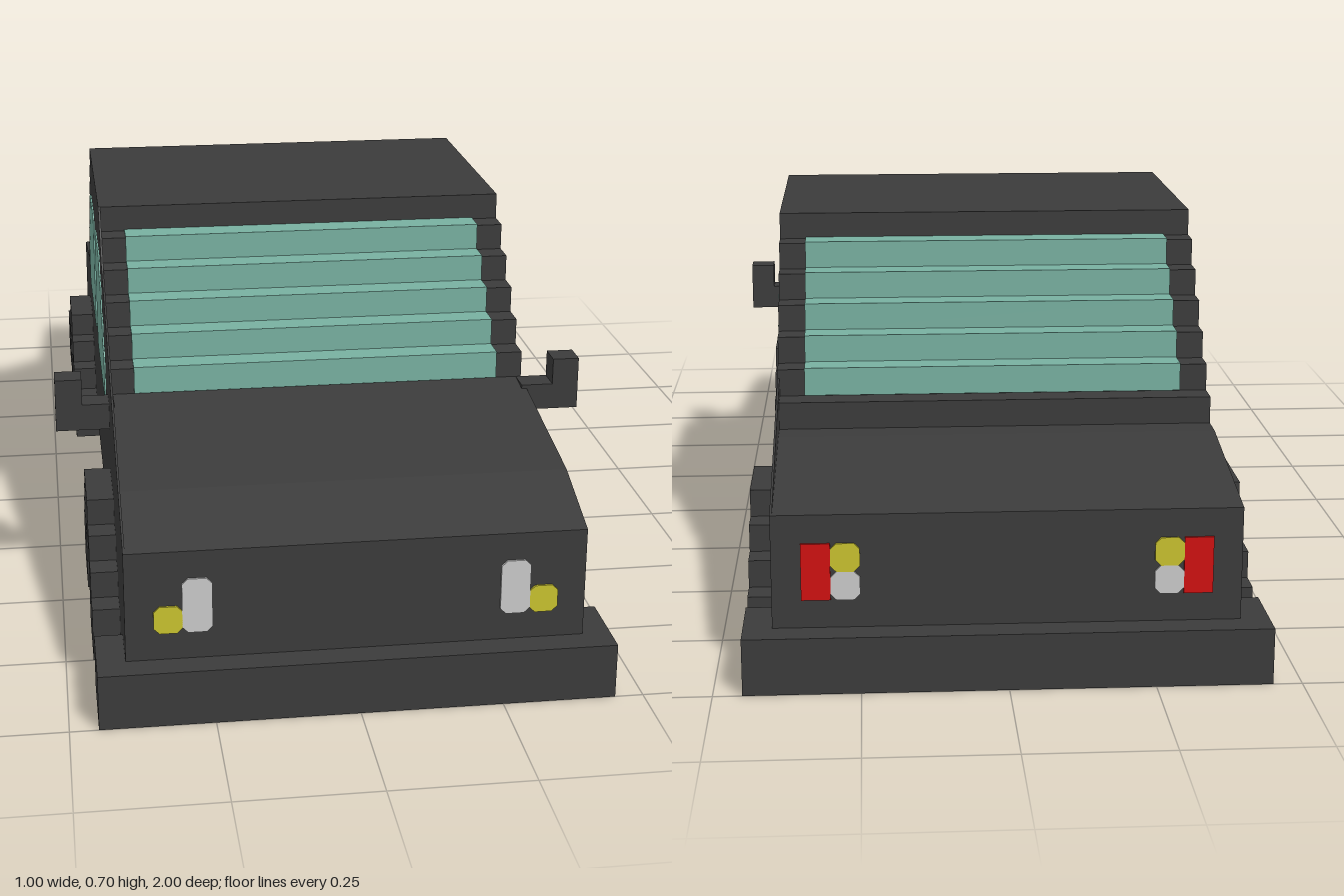
import * as THREE from 'three';

export function createModel() {
  const car = new THREE.Group();
  car.name = 'car';
  const mat = (name, color, extra = {}) => {
    const m = new THREE.MeshStandardMaterial({ color, ...extra });
    m.name = name;
    return m;
  };
  const paint = mat('charcoal', 0x3b3b3b);
  paint.side = THREE.DoubleSide;
  const glass = mat('glass', 0x78b0a1);
  const white = mat('lamp white', 0xcacaca);
  const yellow = mat('indicator yellow', 0xc9c22f);
  const red = mat('tail red', 0xd01010);

  const add = (name, geo, material) => {
    const mesh = new THREE.Mesh(geo, material);
    mesh.name = name;
    car.add(mesh);
    return mesh;
  };
  // box given by its minimum and maximum on each axis
  const box = (name, material, x0, x1, y0, y1, z0, z1) =>
    add(name, new THREE.BoxGeometry(x1 - x0, y1 - y0, z1 - z0), material)
      .position.set((x0 + x1) / 2, (y0 + y1) / 2, (z0 + z1) / 2);
  // side profile of [z, y] points, extruded across the car about x
  const slab = (name, material, points, width, x = 0) => {
    const shape = new THREE.Shape(points.map(p => new THREE.Vector2(...p)));
    const geo = new THREE.ExtrudeGeometry(shape, { depth: width, bevelEnabled: false });
    geo.translate(0, 0, -width / 2).rotateY(-Math.PI / 2).translate(x, 0, 0);
    return add(name, geo, material);
  };

  // body with stepped screens, sloping bonnet and boot
  const profile = [[0.95, 0.1], [0.95, 0.3], [0.8, 0.35], [0.45, 0.4]];
  for (let i = 4; i >= 0; i--) {
    const z = 0.2 + i * 0.05, y = 0.65 - i * 0.05;
    profile.push([z + 0.05, y - 0.05], [z + 0.05, y], [z, y]);
  }
  profile.push([0.2, 0.7], [-0.3, 0.7]);
  for (let i = 0; i < 6; i++) {
    const z = -0.3 - i * 0.05, y = 0.65 - i * 0.05;
    profile.push([z, y], [z - 0.05, y]);
  }
  profile.push([-0.6, 0.35], [-0.65, 0.35], [-0.95, 0.3], [-0.95, 0.1], [-0.85, 0.05],
    [-0.65, 0.05], [-0.65, 0.1], [-0.5, 0.15], [-0.5, 0.05], [0.45, 0.05],
    [0.45, 0.15], [0.6, 0.15], [0.6, 0.05], [0.85, 0.05]);
  // remove repeated neighbours where steps meet
  const outline = profile.filter((p, i) => !i ||
    Math.hypot(p[0] - profile[i - 1][0], p[1] - profile[i - 1][1]) > 1e-4);
  slab('body', paint, outline, 0.8);

  // triangular side panels beside bonnet and boot
  slab('bonnetSidePanel', paint, [[0.95, 0.3], [0.3, 0.6], [0.2, 0.7], [0.2, 0.3]], 0.004, -0.398);
  slab('bootSidePanel', paint, [[-0.95, 0.3], [-0.5, 0.45], [-0.5, 0.3]], 0.004, 0.398);

  // windscreen and rear screen, one block per step
  for (let i = 0; i < 5; i++) {
    const y = 0.653 - i * 0.05, z = 0.203 + i * 0.05;
    box('windscreenStep', glass, -0.35, 0.35, y - 0.052, y, z - 0.003, z + 0.05);
    box('rearScreenStep', glass, -0.35, 0.35, y - 0.052, y, -z - 0.15, -z - 0.097);
  }

  // stepped wheel arches running under the car
  const arch = (name, c, frontTop, rearTop) => slab(name, paint, [
    [0.225, 0], [0.225, 0.1], [0.175, 0.1], [0.175, 0.15], [0.125, 0.15], [0.125, 0.2],
    [0.075, 0.2], [0.075, 0.25], [-0.075, 0.25], [-0.075, 0.2], [-0.125, 0.2], [-0.125, 0.15],
    [-0.175, 0.15], [-0.175, 0.1], [-0.225, 0.1], [-0.225, 0], [-0.075, 0], [-0.075, rearTop],
    [0.075, frontTop], [0.075, 0]].map(([z, y]) => [z + c, y]), 0.9);
  arch('frontArch', 0.525, 0.15, 0.15);
  arch('rearArch', -0.575, 0.15, 0.1);

  // bumpers
  box('frontBumper', paint, -0.45, 0.45, 0, 0.1, 0.85, 1);
  box('rearBumper', paint, -0.45, 0.45, 0, 0.1, -1, -0.85);

  const mirrorBox = (name, m, s, x0, x1, ...rest) =>
    box(name, m, Math.min(s * x0, s * x1), Math.max(s * x0, s * x1), ...rest);
  // lamp plate with clipped corners, facing front (f = 1) or back (f = -1)
  const lamp = (name, m, x, y, w, h, f) => {
    const c = 0.01, a = w / 2, b = h / 2;
    const s = new THREE.Shape([[-a + c, -b], [a - c, -b], [a, -b + c], [a, b - c],
      [a - c, b], [-a + c, b], [-a, b - c], [-a, -b + c]].map(p => new THREE.Vector2(...p)));
    const geo = new THREE.ExtrudeGeometry(s, { depth: 0.006, bevelEnabled: false });
    add(name, geo.translate(0, 0, -0.003), m).position.set(x, y, f * 0.951);
  };

  for (const s of [1, -1]) {
    // side windows with stepped outer corners
    slab('frontSideWindow', glass, [[0, 0.36], [0.01, 0.35], [0.34, 0.35], [0.35, 0.36],
      [0.35, 0.44], [0.34, 0.45], [0.31, 0.45], [0.3, 0.5], [0.26, 0.5], [0.25, 0.55],
      [0.21, 0.56], [0.2, 0.59], [0.18, 0.6], [0.01, 0.6], [0, 0.59]], 0.006, s * 0.4);
    slab('rearSideWindow', glass, [[-0.1, 0.36], [-0.11, 0.35], [-0.44, 0.35], [-0.45, 0.36],
      [-0.45, 0.44], [-0.44, 0.45], [-0.41, 0.46], [-0.4, 0.5], [-0.36, 0.51], [-0.35, 0.55],
      [-0.31, 0.56], [-0.3, 0.59], [-0.28, 0.6], [-0.11, 0.6], [-0.1, 0.59]], 0.006, s * 0.4);

    // door mirrors
    mirrorBox('mirrorArm', paint, s, 0.39, 0.45, 0.35, 0.4, 0.45, 0.5);
    mirrorBox('mirrorHead', paint, s, 0.45, 0.5, 0.35, 0.45, 0.45, 0.5);

    // front and rear lamps
    lamp('headlamp', white, s * 0.276, 0.2, 0.052, 0.1, 1);
    lamp('frontIndicator', yellow, s * 0.326, 0.175, 0.05, 0.05, 1);
    mirrorBox('tailLamp', red, s, 0.3, 0.35, 0.15, 0.25, -0.954, -0.948);
    lamp('rearIndicator', yellow, s * 0.275, 0.225, 0.05, 0.05, -1);
    lamp('reversingLamp', white, s * 0.275, 0.175, 0.05, 0.05, -1);
  }
  return car;
}
